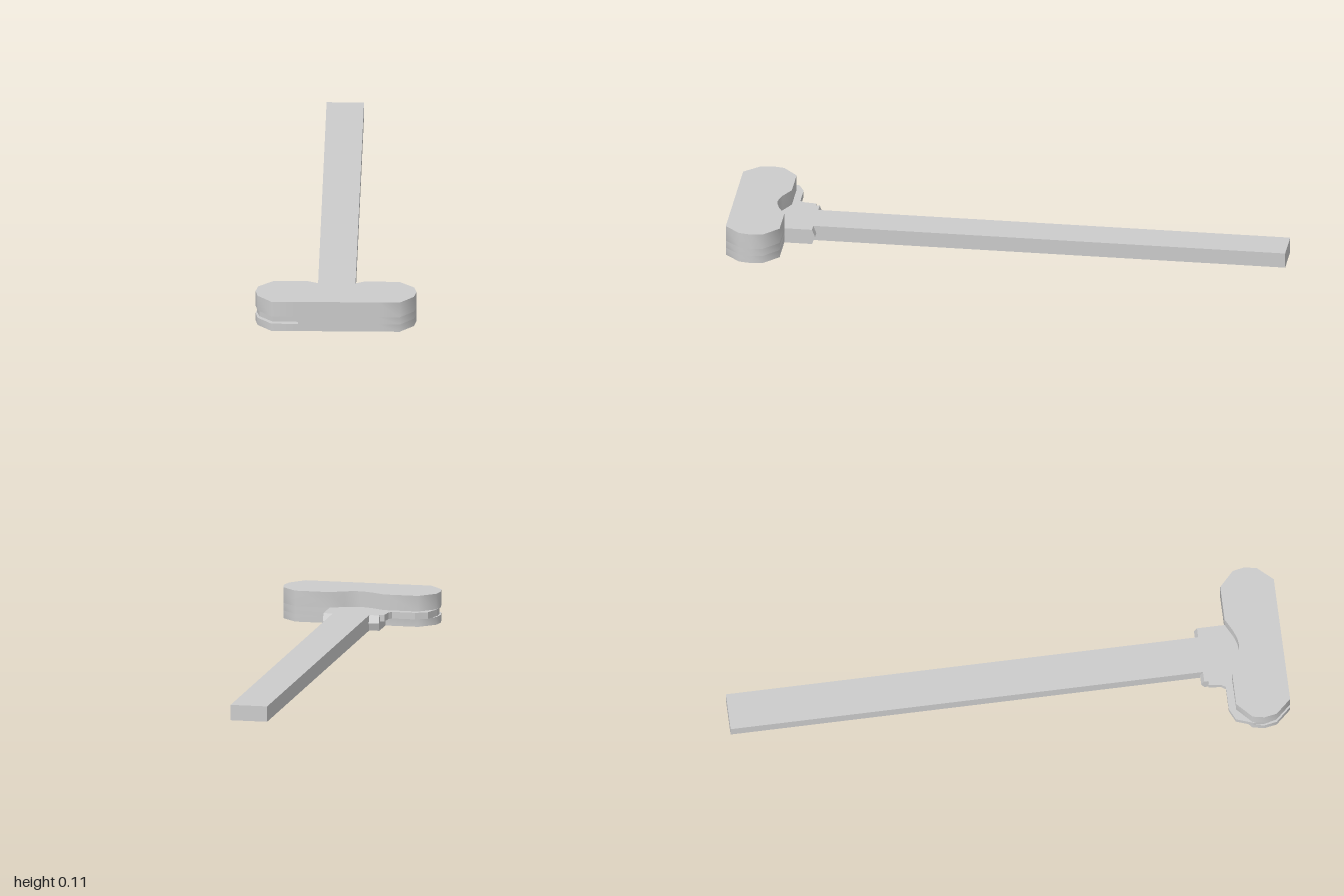
import * as THREE from 'three';
import { toCreasedNormals } from 'three/addons/utils/BufferGeometryUtils.js';

const material = new THREE.MeshStandardMaterial({ color: 0xcccccc });

// Plate from an outline of [x, z] points, between two heights
function plate(name, outline, y0, y1, crease = 0.3) {
  const shape = new THREE.Shape(outline.map(([x, z]) => new THREE.Vector2(x, z)));
  const geo = new THREE.ExtrudeGeometry(shape, { depth: y1 - y0, bevelEnabled: false });
  geo.rotateX(Math.PI / 2).translate(0, y1, 0);
  const mesh = new THREE.Mesh(toCreasedNormals(geo, crease), material);
  mesh.name = name;
  return mesh;
}

// Ear with a pointed back edge, between two x positions
function ear(name, x0, x1) {
  const profile = [[0.715, 0], [0.715, 0.056], [0.706, 0.056], [0.695, 0.028], [0.706, 0]];
  const shape = new THREE.Shape(profile.map(([z, y]) => new THREE.Vector2(-z, y)));
  const geo = new THREE.ExtrudeGeometry(shape, { depth: x1 - x0, bevelEnabled: false });
  geo.rotateY(Math.PI / 2).translate(x0, 0, 0);
  const mesh = new THREE.Mesh(toCreasedNormals(geo, 0.3), material);
  mesh.name = name;
  return mesh;
}

export function createModel() {
  const group = new THREE.Group();
  group.name = 'pullHandle';

  // Rounded grip end, from front corner to back corner
  const end = [[0.15, 1], [0.23, 1], [0.28, 0.945], [0.288, 0.9], [0.28, 0.858], [0.225, 0.806]];
  const leftEnd = end;
  const rightEnd = end.map(([x, z]) => [-x, z]).reverse();
  const recess = [[0.1, 0.806], [0.05, 0.832], [0.02, 0.842], [0, 0.844],
    [-0.02, 0.842], [-0.05, 0.832], [-0.1, 0.806]];

  // Grip in three layers: the middle one leaves the latch slot open
  group.add(plate('gripBase', [...leftEnd, ...rightEnd], 0, 0.028, 0.85));
  group.add(plate('gripMiddle', [...leftEnd, [-0.135, 0.806], [-0.135, 1]], 0.028, 0.056, 0.85));
  group.add(plate('gripTop', [...leftEnd, ...recess, ...rightEnd], 0.056, 0.113, 0.85));

  // Long bar widening into the neck
  group.add(plate('barAndNeck', [
    [-0.068, -1], [0.066, -1], [0.066, 0.715], [0.1, 0.715],
    [0.1, 0.806], [-0.105, 0.806], [-0.105, 0.715], [-0.068, 0.715],
  ], 0, 0.056));

  // Ears on both sides of the neck
  group.add(ear('leftEar', 0.066, 0.1));
  group.add(ear('rightEar', -0.105, -0.068));

  // Latch lying in the slot
  group.add(plate('latch', [
    [-0.1, 0.72], [-0.12, 0.72], [-0.125, 0.765], [-0.135, 0.78], [-0.22, 0.78], [-0.262, 0.8],
    [-0.283, 0.86], [-0.283, 0.9], [-0.274, 0.94], [-0.225, 0.99],
    [-0.135, 0.99], [-0.135, 0.806], [-0.1, 0.806],
  ], 0.032, 0.056));

  return group;
}
